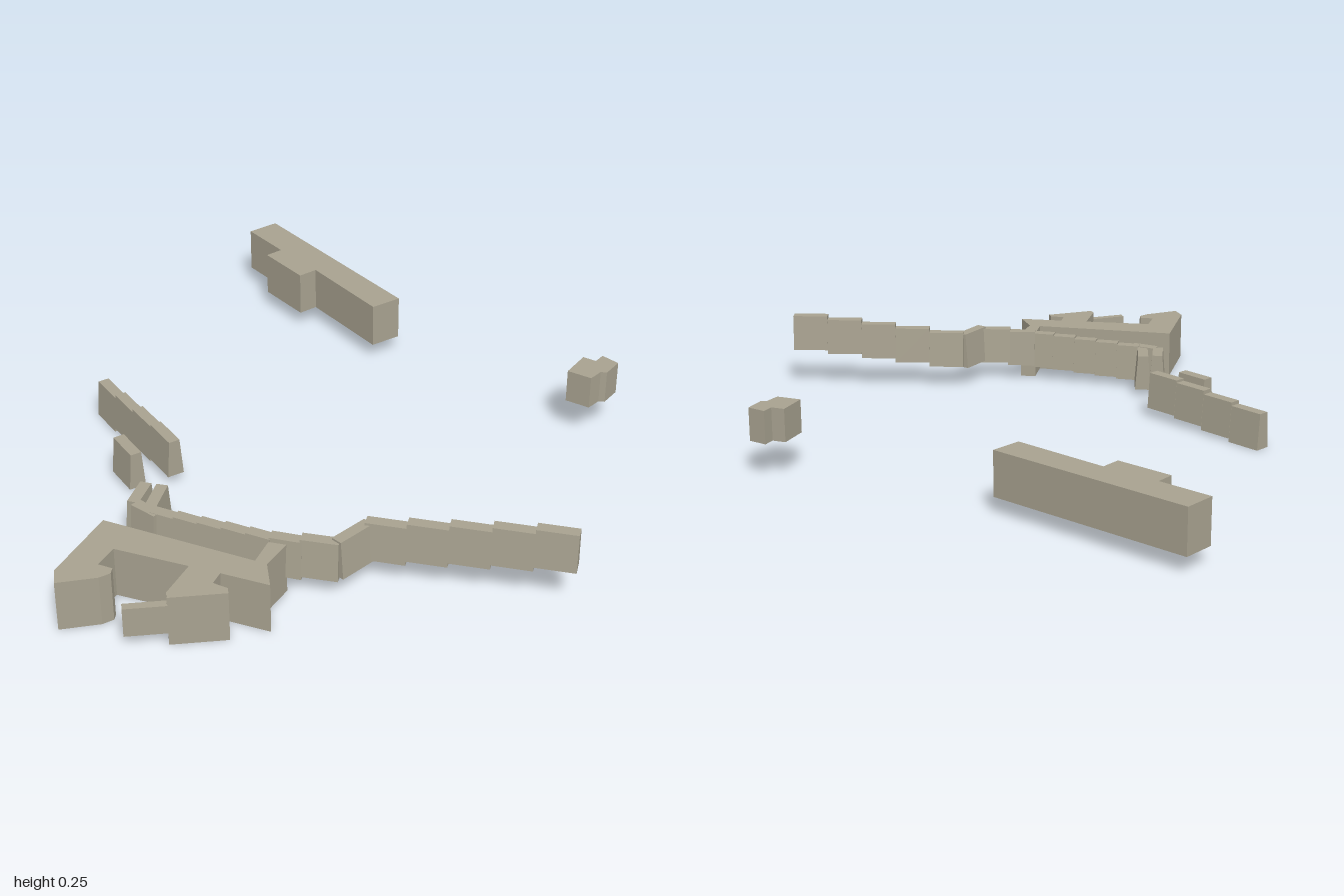
import * as THREE from 'three';

const stone = new THREE.MeshStandardMaterial({ color: 0xa8a290 });
stone.name = 'stone';

// Upright block from a plan outline of [x, z] corners
function block(name, outline, y0, y1) {
  const shape = new THREE.Shape(outline.map(([x, z]) => new THREE.Vector2(x, -z)));
  const geo = new THREE.ExtrudeGeometry(shape, { depth: y1 - y0, bevelEnabled: false });
  geo.rotateX(-Math.PI / 2);
  geo.translate(0, y0, 0);
  const mesh = new THREE.Mesh(geo, stone);
  mesh.name = name;
  return mesh;
}

// Run of battered wall pieces from a to b, stepping in height; tops lists each piece
const WALL_H = 0.117, BASE = 0.026, CREST = 0.017;
function wallRun(name, a, b, tops) {
  const run = new THREE.Group();
  run.name = name;
  const dx = b[0] - a[0], dz = b[1] - a[1];
  const step = Math.hypot(dx, dz) / tops.length;
  const profile = new THREE.Shape([
    new THREE.Vector2(-BASE, 0), new THREE.Vector2(BASE, 0),
    new THREE.Vector2(CREST, WALL_H), new THREE.Vector2(-CREST, WALL_H),
  ]);
  tops.forEach((top, i) => {
    const geo = new THREE.ExtrudeGeometry(profile, { depth: step, bevelEnabled: false });
    const piece = new THREE.Mesh(geo, stone);
    const t = i / tops.length;
    piece.name = 'wallPiece';
    piece.position.set(a[0] + dx * t, top - WALL_H, a[1] + dz * t);
    piece.rotation.y = Math.atan2(dx, dz);
    run.add(piece);
  });
  return run;
}

export function createModel() {
  const model = new THREE.Group();
  model.name = 'wallAndBuildings';

  // Long building at the back, with a side wing
  model.add(block('longBuilding', [
    [-0.18, -0.95], [-0.09, -1], [0.255, -0.42], [0.165, -0.375],
    [0.01, -0.645], [-0.045, -0.613], [-0.14, -0.77], [-0.09, -0.8],
  ], 0.053, 0.194));

  // Small house on the left side
  model.add(block('smallHouse', [
    [0.685, 0.127], [0.75, 0.053], [0.783, 0.08], [0.81, 0.053],
    [0.847, 0.1], [0.8, 0.15], [0.782, 0.145], [0.745, 0.176],
  ], 0.115, 0.219));

  // Courtyard building at the front right
  model.add(block('courtyardBuilding', [
    [-0.72, 0.632], [-0.325, 0.865], [-0.28, 0.783], [-0.235, 0.805],
    [-0.295, 0.885], [-0.295, 0.975], [-0.42, 0.908], [-0.442, 0.947],
    [-0.405, 0.973], [-0.405, 0.995], [-0.565, 0.995], [-0.565, 0.972],
    [-0.5, 0.867], [-0.695, 0.767], [-0.737, 0.83], [-0.7, 0.852],
    [-0.705, 0.873], [-0.737, 0.888], [-0.853, 0.897], [-0.853, 0.843],
  ], 0, 0.155));
  model.add(block('courtyardScreen', [
    [-0.682, 0.973], [-0.562, 0.973], [-0.562, 0.997], [-0.682, 0.997],
  ], 0.04, 0.13));

  // Detached wall lengths
  model.add(wallRun('detachedWall', [-0.705, -0.16], [-0.507, 0.257], [0.117, 0.128, 0.14, 0.148]));
  model.add(wallRun('shortWall', [-0.667, 0.182], [-0.62, 0.283], [0.131]));

  // Long stepped wall, from the paired end to the far left
  model.add(wallRun('pairedEndOuter', [-0.597, 0.444], [-0.637, 0.535], [0.14]));
  model.add(wallRun('pairedEndInner', [-0.552, 0.458], [-0.592, 0.565], [0.138]));
  model.add(wallRun('cornerWall', [-0.63, 0.537], [-0.57, 0.6], [0.14]));
  model.add(wallRun('slopingWall', [-0.585, 0.577], [-0.27, 0.775], [0.141, 0.147, 0.152, 0.158, 0.163]));
  model.add(wallRun('middleWall', [-0.275, 0.77], [-0.19, 0.805], [0.168]));
  model.add(wallRun('middleWall', [-0.195, 0.802], [-0.095, 0.838], [0.177]));
  model.add(wallRun('bentWall', [-0.105, 0.84], [-0.008, 0.765], [0.183]));
  model.add(wallRun('risingWall', [-0.015, 0.765], [0.525, 0.967], [0.19, 0.204, 0.218, 0.232, 0.245]));

  return model;
}
